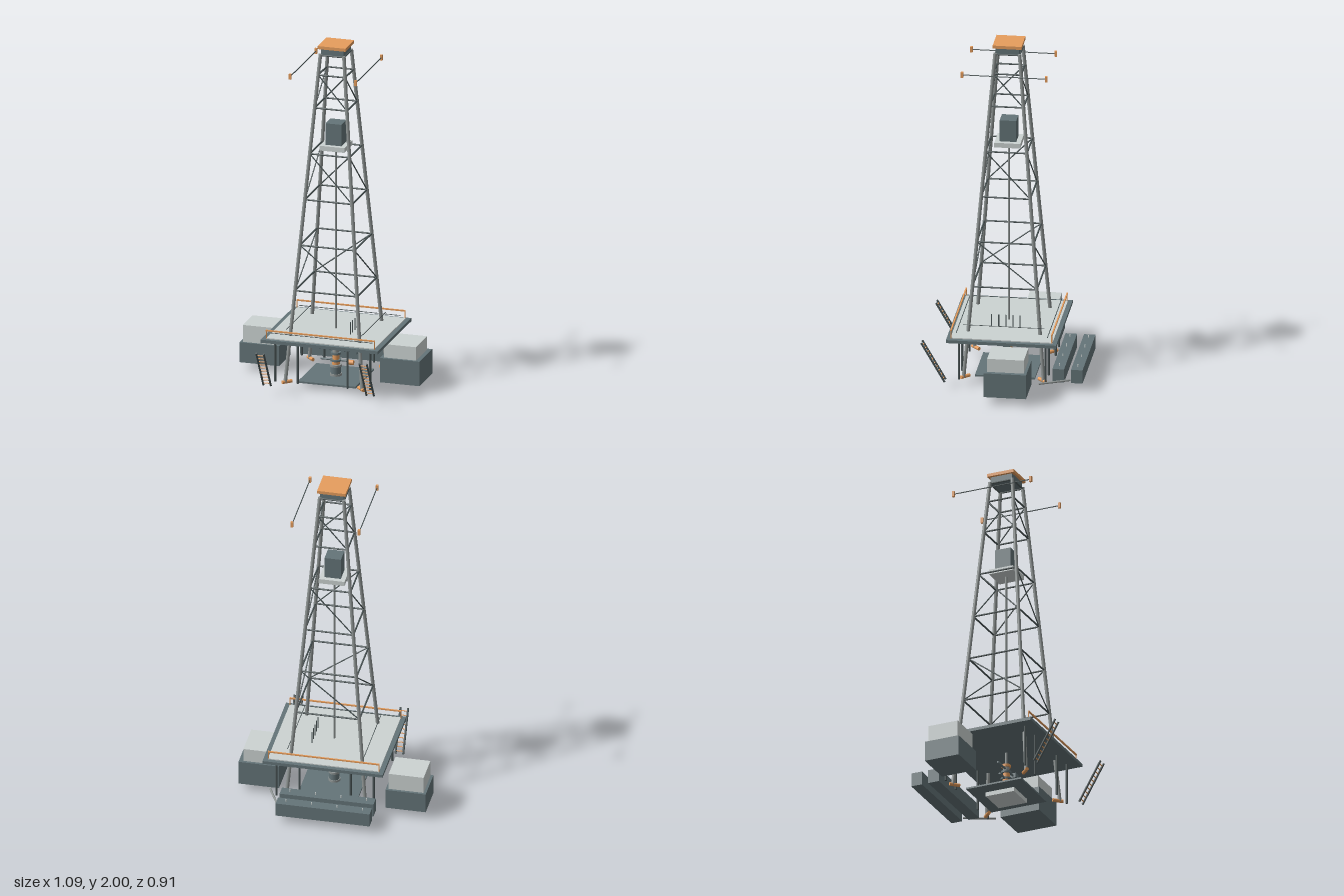
import * as THREE from 'three';

const mat = (name, color) => Object.assign(new THREE.MeshStandardMaterial({ color }), { name });

export function createModel() {
  const light = mat('light grey', 0xccd3d2);
  const slate = mat('slate grey', 0x647478);
  const steel = mat('steel', 0x8f9594);
  const dark = mat('dark steel', 0x4c5758);
  const orange = mat('orange', 0xe69d5d);

  const root = new THREE.Group();
  root.name = 'drillingRig';
  const CX = 0.0295, CZ = -0.003; // mast and deck axis

  const group = (name) => {
    const g = new THREE.Group();
    g.name = name;
    root.add(g);
    return g;
  };
  const add = (parent, name, geo, m) => {
    const mesh = new THREE.Mesh(geo, m);
    mesh.name = name;
    parent.add(mesh);
    return mesh;
  };
  // Box given by its limits
  const box = (p, name, m, x0, x1, y0, y1, z0, z1) => {
    const b = add(p, name, new THREE.BoxGeometry(x1 - x0, y1 - y0, z1 - z0), m);
    b.position.set((x0 + x1) / 2, (y0 + y1) / 2, (z0 + z1) / 2);
    return b;
  };
  // Square-plan block on the axis
  const block = (p, name, m, half, y0, y1) =>
    box(p, name, m, CX - half, CX + half, y0, y1, CZ - half, CZ + half);
  // Round bar between two points
  const bar = (p, name, m, a, b, r, sides = 8) => {
    const A = new THREE.Vector3(...a), B = new THREE.Vector3(...b);
    const d = B.clone().sub(A);
    const mesh = add(p, name, new THREE.CylinderGeometry(r, r, d.length(), sides), m);
    mesh.position.copy(A).add(B).multiplyScalar(0.5);
    mesh.quaternion.setFromUnitVectors(new THREE.Vector3(0, 1, 0), d.normalize());
    return mesh;
  };

  // Mast: four tapering legs with rings, and one diagonal per braced face
  const mast = group('mast');
  const half = (y) => 0.226 - (0.157 * (y - 0.05)) / 1.9;
  const signs = [[1, 1], [-1, 1], [-1, -1], [1, -1]];
  const corner = (i, y) => {
    const s = signs[i % 4];
    return [CX + s[0] * half(y), y, CZ + s[1] * half(y)];
  };
  const rings = [0.574, 0.838, 1.103, 1.37, 1.637, 1.828, 1.943];
  for (let i = 0; i < 4; i++) {
    bar(mast, 'mastLeg', steel, corner(i, 0.04), corner(i, 1.95), 0.0105, 12);
    for (const y of rings) bar(mast, 'mastRing', dark, corner(i, y), corner(i + 1, y), 0.005);
    for (const k of [0, 2, 4])
      bar(mast, 'diagonalBrace', dark, corner(i, rings[k]), corner(i + 1, rings[k + 1]), 0.0036);
    // Foot lying along the diagonal under each leg
    const f = corner(i, 0.043), [sx, sz] = signs[i];
    bar(mast, 'legFoot', orange, [f[0] - sx * 0.03, 0.043, f[2] - sz * 0.03],
      [f[0] + sx * 0.014, 0.043, f[2] + sz * 0.014], 0.01, 14);
  }

  // Crown
  const crown = group('crown');
  block(crown, 'crownBlock', slate, 0.067, 1.945, 1.982);
  block(crown, 'crownCap', orange, 0.082, 1.982, 2);

  // Outrigger lines beside the top of the mast
  const lines = group('outriggers');
  for (const x of [-0.164, 0.222]) {
    bar(lines, 'outriggerBar', dark, [x, 1.858, -0.24], [x, 1.858, 0.235], 0.003);
    for (const z of [-0.241, 0.237])
      box(lines, 'outriggerTip', orange, x - 0.007, x + 0.007, 1.842, 1.875, z - 0.007, z + 0.007);
  }

  // Travelling block and drill string
  const hoist = group('hoist');
  block(hoist, 'travellingBlock', slate, 0.047, 1.408, 1.535);
  block(hoist, 'blockPlate', light, 0.074, 1.38, 1.408);
  bar(hoist, 'drillString', steel, [CX, 0.2, CZ], [CX, 1.385, CZ], 0.0065, 12);

  // Deck with floor plate, rails and columns
  const deck = group('deck');
  box(deck, 'deckSlab', slate, -0.316, 0.375, 0.289, 0.307, -0.317, 0.308);
  box(deck, 'deckFloor', light, -0.29, 0.349, 0.307, 0.313, -0.293, 0.285);
  for (const s of [-1, 1]) {
    const z = CZ + s * 0.286, zi = CZ + s * 0.259;
    box(deck, 'topRail', orange, -0.292, 0.349, 0.352, 0.36, z - 0.004, z + 0.004);
    bar(deck, 'lowerRail', dark, [-0.27, 0.335, zi], [0.328, 0.335, zi], 0.0023);
    for (const x of [-0.29, 0.347]) bar(deck, 'railPost', orange, [x, 0.307, z], [x, 0.354, z], 0.003);
    const sx = CX + s * 0.219;
    bar(deck, 'sideRail', dark, [sx, 0.355, -0.235], [sx, 0.355, 0.227], 0.002);
    for (const dx of [-0.28, -0.147, 0.147, 0.28])
      bar(deck, 'deckColumn', dark, [CX + dx, 0.047, CZ + s * 0.245], [CX + dx, 0.291, CZ + s * 0.245], 0.0065, 10);
  }
  for (let i = -2; i <= 2; i++)
    bar(deck, 'rackedPipe', dark, [0.142, 0.311, i * 0.04], [0.142, 0.384, i * 0.04], 0.003);

  // Ground pad
  const pad = group('pad');
  block(pad, 'footing', light, 0.087, 0, 0.025);
  block(pad, 'padPlate', slate, 0.17, 0.025, 0.035);

  // Wellhead stack: [radius, bottom, top, colour]
  const well = group('wellhead');
  const stack = [
    [0.034, 0.035, 0.048, steel], [0.03, 0.048, 0.088, slate], [0.034, 0.088, 0.1, steel],
    [0.022, 0.1, 0.12, orange], [0.032, 0.12, 0.13, slate], [0.02, 0.13, 0.16, orange],
    [0.03, 0.16, 0.172, slate], [0.018, 0.172, 0.198, steel], [0.026, 0.198, 0.213, orange],
  ];
  for (const [r, y0, y1, m] of stack) bar(well, 'wellheadRing', m, [CX, y0, CZ], [CX, y1, CZ], r, 20);
  bar(well, 'upperArm', slate, [-0.085, 0.186, CZ], [0.125, 0.186, CZ], 0.006);
  box(well, 'armBox', slate, 0.117, 0.157, 0.173, 0.201, CZ - 0.018, CZ + 0.018);
  bar(well, 'lowerArm', slate, [-0.06, 0.125, CZ], [0.11, 0.125, CZ], 0.006);
  bar(well, 'chokeValve', orange, [0.102, 0.118, CZ], [0.134, 0.118, CZ], 0.014, 14);

  // Side modules: dark base with a light housing
  const modules = group('sideModules');
  box(modules, 'rightModuleBase', slate, -0.547, -0.315, 0.043, 0.161, -0.241, -0.032);
  box(modules, 'rightModuleHousing', light, -0.532, -0.331, 0.161, 0.261, -0.226, -0.045);
  box(modules, 'leftModuleBase', slate, 0.312, 0.545, 0.043, 0.187, -0.17, 0.07);
  box(modules, 'leftModuleHousing', light, 0.33, 0.52, 0.187, 0.266, -0.154, 0.054);

  // Long tanks at the back, with top fittings
  const tanks = group('rearTanks');
  for (const z of [-0.42, -0.315]) {
    box(tanks, 'tank', slate, -0.27, 0.27, 0.043, 0.123, z - 0.033, z + 0.033);
    for (const x of [-0.223, -0.077, 0.07, 0.217])
      bar(tanks, 'tankFitting', light, [x, 0.122, z], [x, 0.138, z], 0.003);
  }
  bar(tanks, 'feedPipe', steel, [0.27, 0.061, -0.383], [0.352, 0.061, -0.215], 0.006, 10);

  // Two leaning ladders at the front
  for (const x of [-0.274, 0.334]) {
    const ladder = group('ladder');
    for (const s of [-1, 1])
      bar(ladder, 'ladderRail', dark, [x + s * 0.022, 0.045, 0.318], [x + s * 0.022, 0.273, 0.45], 0.006);
    for (let i = 0; i < 10; i++) {
      const t = (i + 0.7) / 10.4, y = 0.045 + 0.228 * t, z = 0.318 + 0.132 * t;
      bar(ladder, 'rung', orange, [x - 0.022, y, z], [x + 0.022, y, z], 0.003);
    }
  }
  return root;
}
